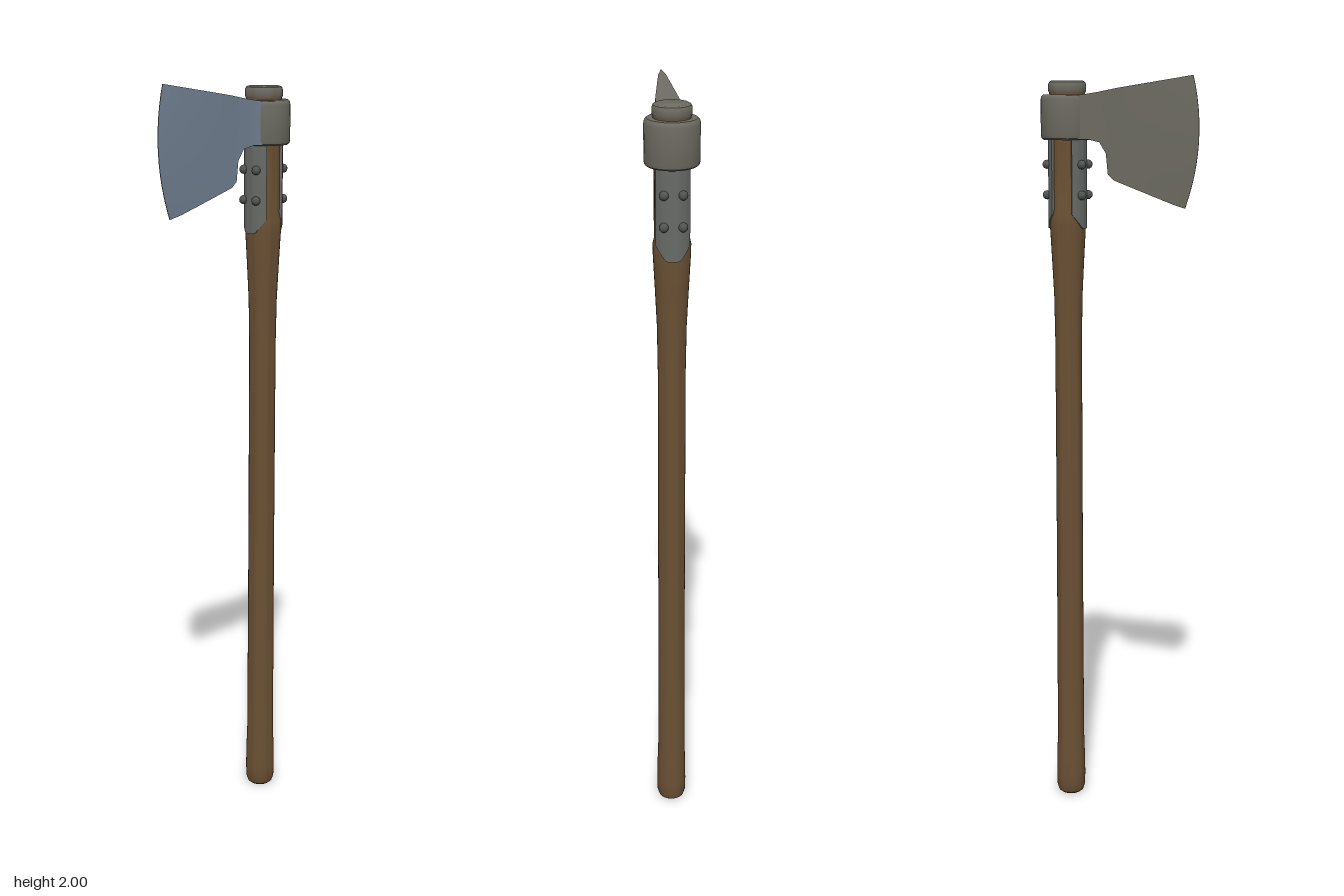
import * as THREE from 'three';
import { toCreasedNormals } from 'three/addons/utils/BufferGeometryUtils.js';

const AXIS = 0.146; // x of the handle's centre line

const material = (name, color, extra = {}) => {
  const m = new THREE.MeshStandardMaterial({ color, ...extra });
  m.name = name;
  return m;
};

// Surface from a rule: fn(i, j) gives a point; faces look along dj x di
function grid(ni, nj, fn) {
  const pos = [], idx = [];
  for (let i = 0; i <= ni; i++) for (let j = 0; j <= nj; j++) pos.push(...fn(i, j));
  for (let i = 0; i < ni; i++) for (let j = 0; j < nj; j++) {
    const a = i * (nj + 1) + j, b = a + nj + 1;
    idx.push(a, a + 1, b + 1, a, b + 1, b);
  }
  const g = new THREE.BufferGeometry();
  g.setAttribute('position', new THREE.Float32BufferAttribute(pos, 3));
  g.setIndex(idx);
  return toCreasedNormals(g, 0.5);
}

export function createModel() {
  const model = new THREE.Group();
  model.name = 'axe';
  const wood = material('wood', 0x6a5034);
  const steel = material('steel', 0x6c6a61);
  const blueSteel = material('blue steel', 0x6f7d8e);
  const strapSteel = material('strap steel', 0x686a66);
  const rivetSteel = material('rivet steel', 0x525453);

  const add = (name, geometry, mat, parent = model) => {
    const mesh = new THREE.Mesh(geometry, mat);
    mesh.name = name;
    parent.add(mesh);
    return mesh;
  };
  const lathe = (name, profile, mat) => {
    const g = new THREE.LatheGeometry(profile.map(([r, y]) => new THREE.Vector2(r, y)), 32);
    add(name, toCreasedNormals(g, 0.6), mat).position.x = AXIS;
  };

  // Handle with rounded butt, slim shaft and a shoulder under the straps
  lathe('handle', [
    [0, 0.004], [0.026, 0.005], [0.034, 0.011], [0.039, 0.026], [0.040, 0.06], [0.039, 0.12],
    [0.037, 0.18], [0.036, 0.7], [0.036, 1.3], [0.038, 1.42], [0.043, 1.52], [0.048, 1.61],
    [0.0485, 1.635], [0.044, 1.655], [0.044, 1.84], [0.047, 1.94], [0.047, 1.962], [0, 1.962],
  ], wood);

  // Ring around the handle, and the cap over its end
  lathe('collar', [
    [0, 1.834], [0.063, 1.834], [0.068, 1.838], [0.070, 1.846],
    [0.070, 1.938], [0.068, 1.946], [0.063, 1.951], [0, 1.951],
  ], steel);
  lathe('endCap', [
    [0, 1.956], [0.048, 1.956], [0.050, 1.961], [0.050, 1.976], [0.047, 1.983], [0.042, 1.986], [0, 1.986],
  ], steel);

  // Blade sections: top x, top y, bottom x, bottom y, half thickness, bulge
  const sections = [
    [-0.200, 2.000, -0.180, 1.660, 0.001, 0.026],
    [-0.165, 1.994, -0.148, 1.671, 0.010, 0.024],
    [-0.030, 1.972, -0.030, 1.717, 0.0265, 0.005],
    [0.000, 1.967, 0.006, 1.731, 0.030, 0],
    [0.020, 1.963, 0.022, 1.746, 0.031, 0],
    [0.030, 1.961, 0.027, 1.800, 0.032, 0],
    [0.050, 1.957, 0.044, 1.829, 0.035, 0],
    [0.075, 1.953, 0.075, 1.836, 0.038, 0],
    [0.095, 1.950, 0.095, 1.836, 0.046, 0],
    [0.108, 1.949, 0.108, 1.836, 0.055, 0],
    [0.125, 1.948, 0.125, 1.836, 0.064, 0],
  ];
  const last = sections.length - 1, rows = 12;
  const point = (i, t, side) => {
    const [xt, yt, xb, yb, half, bulge] = sections[i];
    return [xt + (xb - xt) * t - bulge * 4 * t * (1 - t), yt + (yb - yt) * t, half * side];
  };
  const blade = new THREE.Group();
  blade.name = 'blade';
  model.add(blade);
  add('bladeFront', grid(last - 1, rows, (i, j) => point(i, j / rows, 1)), blueSteel, blade);
  add('bladeFrontRoot', grid(1, rows, (i, j) => point(last - 1 + i, j / rows, 1)), steel, blade);
  add('bladeBack', grid(last, rows, (i, j) => point(last - i, j / rows, -1)), steel, blade);
  add('bladeTop', grid(last, 1, (i, j) => point(i, 0, j * 2 - 1)), steel, blade);
  add('bladeUnderside', grid(last, 1, (i, j) => point(i, 1, 1 - j * 2)), steel, blade);
  add('cuttingEdge', grid(1, rows, (i, j) => point(0, j / rows, i * 2 - 1)), steel, blade);

  // Side straps: curved plates with clipped lower corners; outer rows fold into the wood
  const steps = 14, spread = 0.99;
  const strapGeometry = grid(steps + 2, 2, (i, j) => {
    const u = 1 - 2 * Math.min(Math.max((i - 1) / steps, 0), 1);
    const folded = i === 0 || i === steps + 2 || j === 2;
    const r = folded ? 0.041 : 0.0515;
    const low = 1.602 + 0.038 * Math.max(0, (Math.abs(u) - 0.35) / 0.65);
    return [r * Math.cos(u * spread), j === 0 ? 1.84 : low, r * Math.sin(u * spread)];
  });
  const rivetGeometry = new THREE.SphereGeometry(0.012, 12, 8);
  for (const [side, turn] of [['left', 0], ['right', Math.PI]]) {
    const group = new THREE.Group();
    group.name = side + 'StrapGroup';
    group.position.x = AXIS;
    group.rotation.y = turn;
    model.add(group);
    add(side + 'Strap', strapGeometry, strapSteel, group);
    for (const y of [1.69, 1.77]) for (const z of [-0.024, 0.024])
      add(side + 'Rivet', rivetGeometry, rivetSteel, group).position.set(0.049, y, z);
  }
  return model;
}
